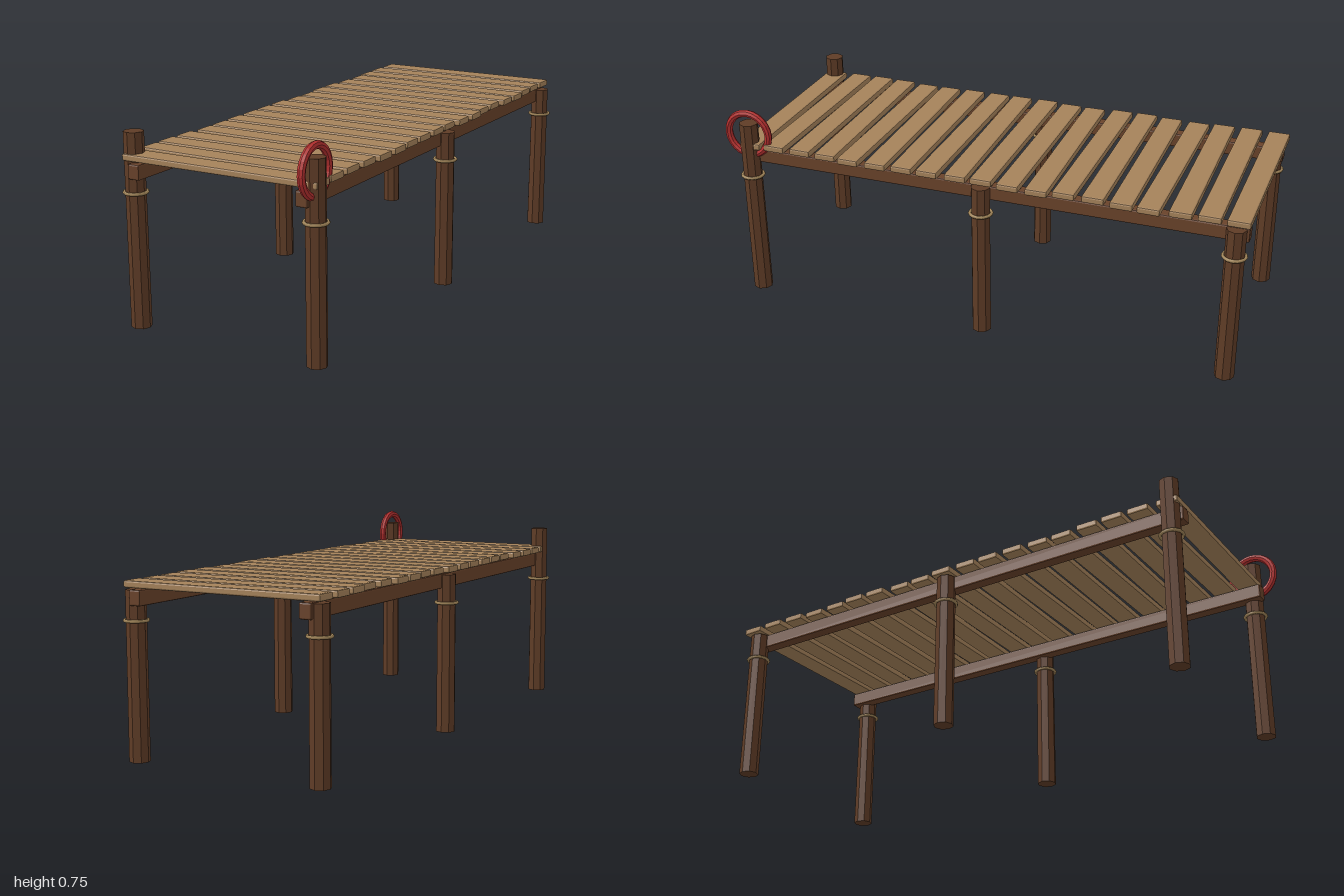
import * as THREE from 'three';
import { RoundedBoxGeometry } from 'three/addons/geometries/RoundedBoxGeometry.js';

const mat = (name, color, flatShading = true) => {
  const m = new THREE.MeshStandardMaterial({ color, flatShading });
  m.name = name;
  return m;
};

export function createModel() {
  const postWood = mat('dark post wood', 0x5f3c26);
  const beamWood = mat('beam wood', 0x69422a);
  const plankWood = mat('plank wood', 0xa5825a);
  const rope = mat('rope', 0xa08458, false);
  const red = mat('red ring', 0xb5302f);

  const dock = new THREE.Group();
  dock.name = 'dock';
  const add = (name, geometry, material, x, y, z) => {
    const mesh = new THREE.Mesh(geometry, material);
    mesh.name = name;
    mesh.position.set(x, y, z);
    dock.add(mesh);
    return mesh;
  };

  // Posts with rope bindings, and the long beams, mirrored on both sides
  const ropeGeometry = new THREE.TorusGeometry(0.04, 0.006, 6, 16).rotateX(Math.PI / 2);
  const beamGeometry = new RoundedBoxGeometry(0.046, 0.055, 1.935, 1, 0.006);
  for (const side of [-1, 1]) {
    const label = side > 0 ? 'left' : 'right';
    for (const [place, z, height] of [['Front', 0.9, 0.7], ['Middle', -0.025, 0.592], ['Back', -0.945, 0.592]]) {
      const post = new THREE.CylinderGeometry(0.0355, 0.0365, height, 8);
      add(label + place + 'Post', post, postWood, side * 0.3585, height / 2, z);
      add(label + place + 'Rope', ropeGeometry, rope, side * 0.3585, 0.487, z);
    }
    add(label + 'Beam', beamGeometry, beamWood, side * 0.331, 0.568, -0.0225);
  }

  // Deck planks from back to front, each shifted and turned slightly
  const shifts = [-0.01, -0.012, -0.008, 0.003, 0, -0.01, -0.008, 0.005, 0.003, -0.008,
    -0.005, -0.003, -0.003, 0.003, 0.005, -0.005, -0.008, -0.005, 0];
  const plankGeometry = new RoundedBoxGeometry(0.765, 0.025, 0.082, 1, 0.006);
  shifts.forEach((shift, i) => {
    const plank = add('plank' + (i + 1), plankGeometry, plankWood, shift, 0.6135, -0.956 + i * 0.1028);
    plank.rotation.y = 0.01 * Math.sin(i * 2.3 + 4);
  });

  // Life ring hung over the left front post
  const ring = new THREE.TorusGeometry(0.0825, 0.014, 8, 24).rotateY(Math.PI / 2);
  add('lifeRing', ring, red, 0.3585, 0.655, 0.903);

  return dock;
}
